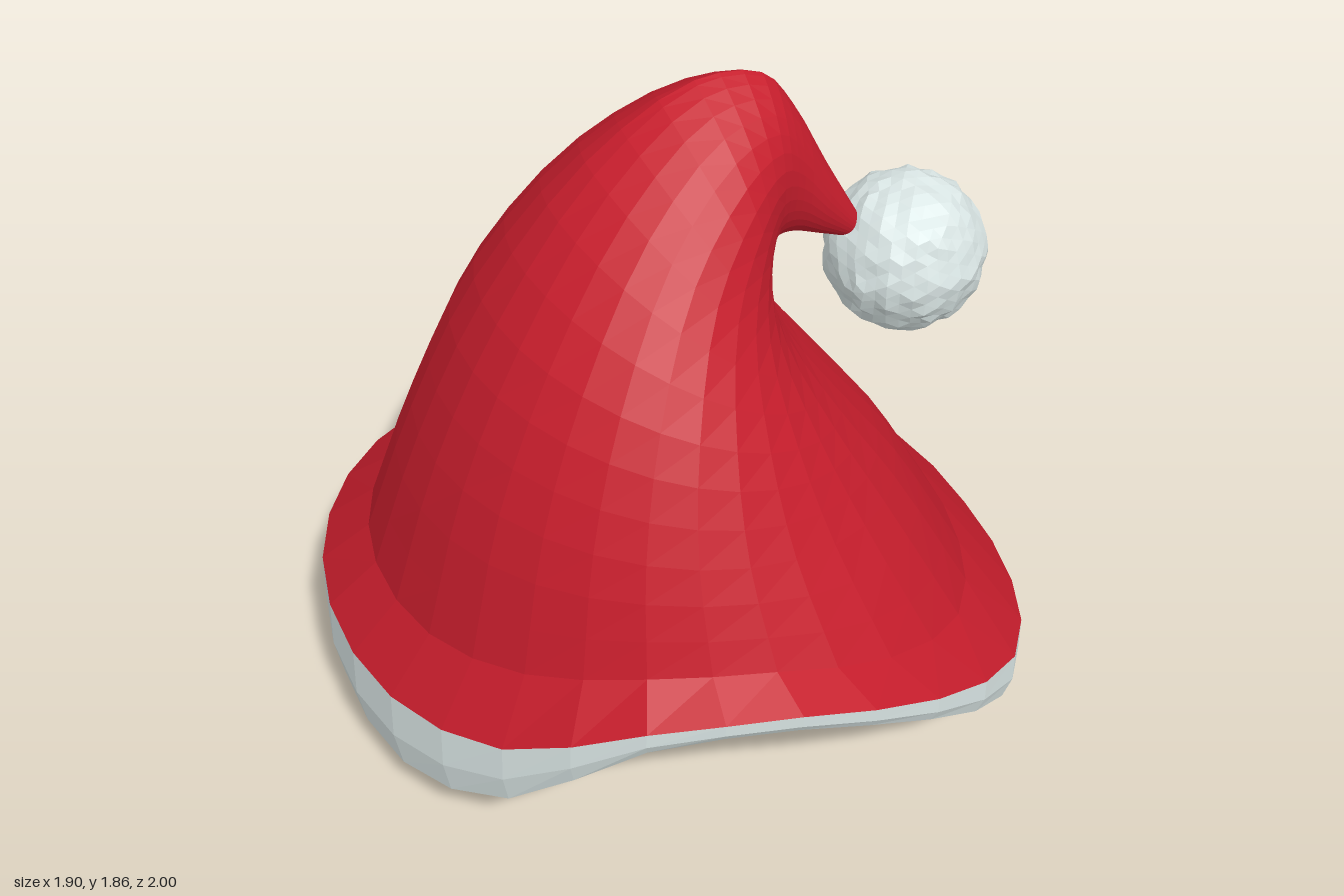
import * as THREE from 'three';

const SIDES = 32;
const red = new THREE.MeshStandardMaterial({ name: 'red felt', color: 0xc61d2c, flatShading: true, side: THREE.DoubleSide });
const white = new THREE.MeshStandardMaterial({ name: 'white trim', color: 0xdae6e5, flatShading: true, side: THREE.DoubleSide });

// Smooth closed function from values every 22.5 degrees, starting at +x and turning to +z
function around(values) {
  const curve = new THREE.CatmullRomCurve3(values.map(v => new THREE.Vector3(v, 0, 0)), true, 'catmullrom', 0.5);
  return t => curve.getPoint(t).x;
}

// Uneven outline of the brim, as a factor on the ellipse radius
const spread = around([1, 1.025, 1.06, 1.04, 1, 0.985, 0.98, 0.99, 1, 1, 1, 1, 1, 1.02, 1.04, 1.025]);

// Closed ring of points from a rule (angle, turn fraction) => Vector3
function ring(rule) {
  return Array.from({ length: SIDES }, (_, i) => rule((i / SIDES) * Math.PI * 2, i / SIDES));
}

// Brim-shaped oval whose height follows a function
const oval = (cx, cz, rx, rz, height) => ring((a, t) =>
  new THREE.Vector3(cx + rx * spread(t) * Math.cos(a), height(t), cz + rz * spread(t) * Math.sin(a)));

// Shrink a ring towards its own centre
function inset(points, scale) {
  const centre = new THREE.Vector3();
  points.forEach(p => centre.addScaledVector(p, 1 / SIDES));
  return points.map(p => p.clone().lerp(centre, 1 - scale));
}

// Skin a list of rings into one surface
function loft(rings) {
  const pos = [], index = [];
  rings.forEach(r => r.forEach(p => pos.push(p.x, p.y, p.z)));
  for (let j = 0; j < rings.length - 1; j++) {
    for (let i = 0; i < SIDES; i++) {
      const n = (i + 1) % SIDES;
      const a = j * SIDES + i, b = j * SIDES + n, c = a + SIDES, d = b + SIDES;
      index.push(a, c, b, b, c, d);
    }
  }
  const g = new THREE.BufferGeometry();
  g.setAttribute('position', new THREE.Float32BufferAttribute(pos, 3));
  g.setIndex(index);
  g.computeVertexNormals();
  return g;
}

function mesh(name, geometry, material) {
  const m = new THREE.Mesh(geometry, material);
  m.name = name;
  return m;
}

export function createModel() {
  const group = new THREE.Group();
  group.name = 'floppyHat';

  // Heights around the rim: seam of felt and trim, trim bottom, inner lip, crease above the flare, lining top
  const seam = around([0.22, 0.27, 0.38, 0.55, 0.66, 0.63, 0.46, 0.4, 0.4, 0.38, 0.34, 0.29, 0.24, 0.22, 0.2, 0.2]);
  const bottom = around([0.0, 0.05, 0.22, 0.46, 0.595, 0.55, 0.26, 0.14, 0.14, 0.11, 0.08, 0.07, 0.08, 0.06, 0.03, 0.0]);
  const lip = around([0.12, 0.14, 0.23, 0.41, 0.55, 0.53, 0.34, 0.2, 0.17, 0.17, 0.17, 0.17, 0.17, 0.16, 0.14, 0.12]);
  const crease = around([0.43, 0.45, 0.51, 0.62, 0.71, 0.71, 0.63, 0.57, 0.55, 0.52, 0.48, 0.45, 0.43, 0.42, 0.42, 0.42]);
  const lining = around([0.4, 0.36, 0.38, 0.51, 0.62, 0.62, 0.5, 0.4, 0.37, 0.36, 0.39, 0.47, 0.54, 0.54, 0.5, 0.47]);

  const brim = oval(-0.005, 0, 0.945, 1.0, seam);
  const fold = oval(-0.03, 0.04, 0.79, 0.85, crease);

  // Bent cone sections: outer x,y  inner x,y  half width  centre z  forward tilt  ridge sharpness
  const sections = [
    [-0.68, 0.97, 0.56, 0.77, 0.705, 0.07, 0.08, 0],
    [-0.5, 1.35, 0.4, 0.98, 0.555, 0.09, 0.03, 0],
    [-0.23, 1.68, 0.26, 1.16, 0.38, 0.085, 0, 0.2],
    [0.04, 1.845, 0.2, 1.29, 0.26, 0.08, 0, 0.7],
    [0.21, 1.835, 0.22, 1.38, 0.16, 0.08, 0, 0.6],
    [0.29, 1.74, 0.28, 1.39, 0.11, 0.08, 0, 0.2],
    [0.38, 1.57, 0.36, 1.365, 0.075, 0.08, 0, 0],
    [0.48, 1.39, 0.46, 1.33, 0.03, 0.085, 0, 0],
  ].map(([ox, oy, ix, iy, w, cz, tilt, sharp]) => ring(a => {
    const k = (1 + Math.cos(a)) / 2, s = Math.sin(a);
    const pinch = k < 0.5 ? Math.abs(s) ** sharp : 1;
    return new THREE.Vector3(ox + (ix - ox) * k, oy + (iy - oy) * k + tilt * s, cz + w * s * pinch);
  }));

  // Smooth columns running from the crease to the tip
  const columns = fold.map((p, i) => new THREE.CatmullRomCurve3([p, ...sections.map(s => s[i])]));
  const steps = sections.length * 3;
  const cone = Array.from({ length: steps + 1 }, (_, j) => columns.map(c => c.getPoint(j / steps)));
  group.add(mesh('hatCone', loft(cone), red));
  group.add(mesh('flaredBrim', loft([brim, fold]), red));

  // Trim: lining down to the inner lip, under the edge and up to the seam
  const liningTop = oval(-0.02, 0.04, 0.69, 0.71, lining);
  const trim = [
    liningTop,
    oval(-0.02, 0.03, 0.745, 0.785, t => lip(t) * 0.55 + lining(t) * 0.45),
    oval(-0.01, 0.02, 0.8, 0.84, t => lip(t) + 0.03),
    oval(-0.01, 0.02, 0.825, 0.87, lip),
    oval(-0.005, 0, 0.93, 0.98, bottom),
    oval(-0.005, 0, 0.95, 0.998, t => bottom(t) * 0.55 + seam(t) * 0.45),
    brim,
  ];
  group.add(mesh('trimBand', loft(trim), white));

  // Inside of the felt, running up from the lining until it meets the cone
  const inside = [liningTop, inset(sections[0], 0.93), inset(sections[1], 0.95), inset(sections[2], 0.98)];
  group.add(mesh('innerFelt', loft(inside), red));

  // Pompom: ball with a bumpy surface, same bump for matching corners
  const ball = new THREE.IcosahedronGeometry(0.212, 6);
  const p = ball.attributes.position, v = new THREE.Vector3();
  for (let i = 0; i < p.count; i++) {
    v.fromBufferAttribute(p, i);
    const key = [v.x, v.y, v.z].map(n => Math.round(n * 1000));
    const h = Math.sin(key[0] * 12.99 + key[1] * 78.23 + key[2] * 37.72) * 43758.55;
    v.multiplyScalar(0.955 + 0.06 * (h - Math.floor(h)));
    p.setXYZ(i, v.x, v.y, v.z);
  }
  ball.computeVertexNormals();
  const pompom = mesh('pompom', ball, white);
  pompom.position.set(0.617, 1.257, 0.085);
  group.add(pompom);

  return group;
}
